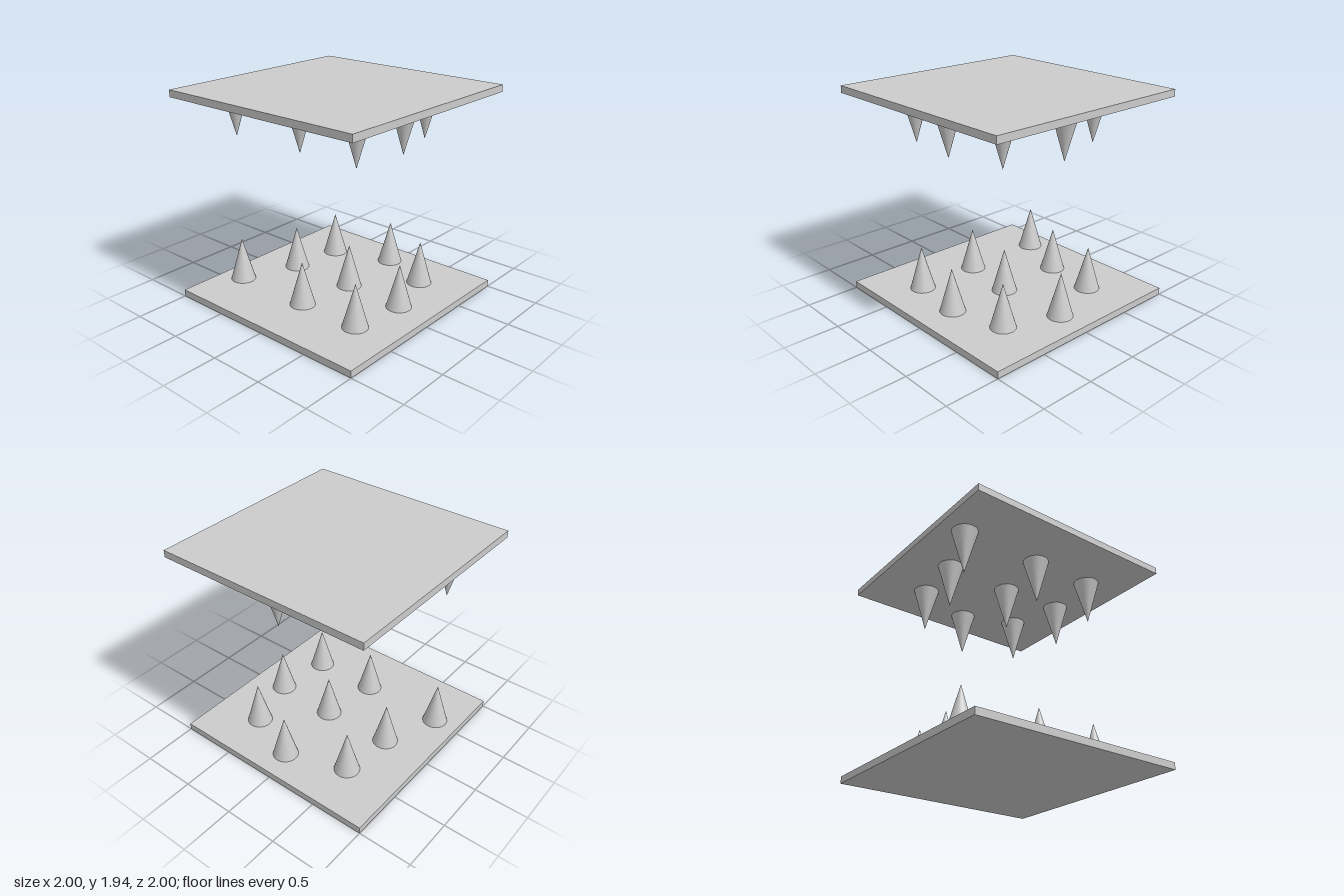
import * as THREE from 'three';

export function createModel() {
  const model = new THREE.Group();
  const material = new THREE.MeshStandardMaterial({ color: 0xcccccc });

  const slabHeight = 0.064;
  const totalHeight = 1.936;
  const spikeHeight = 0.406;

  const slabGeometry = new THREE.BoxGeometry(2, slabHeight, 2);
  const spikeGeometry = new THREE.ConeGeometry(0.115, spikeHeight, 32);

  // Spike positions as [x, z], shared by floor and ceiling
  const spots = [
    [-0.77, 0.48], [0, 0.48], [0.605, 0.48],
    [-0.565, -0.04], [0.08, -0.06], [0.67, -0.04],
    [-0.51, -0.54], [0.04, -0.73], [0.53, -0.54],
  ];

  function addPart(parent, name, geometry, x, y, z) {
    const mesh = new THREE.Mesh(geometry, material);
    mesh.name = name;
    mesh.position.set(x, y, z);
    parent.add(mesh);
  }

  // A slab with spikes pointing up
  function spikedSlab(name, spikeName) {
    const group = new THREE.Group();
    group.name = name;
    addPart(group, name + 'Slab', slabGeometry, 0, slabHeight / 2, 0);
    for (const [x, z] of spots) {
      addPart(group, spikeName, spikeGeometry, x, slabHeight + spikeHeight / 2, z);
    }
    return group;
  }

  const floor = spikedSlab('floor', 'floorSpike');

  // The ceiling is the floor turned upside down, with z kept in place
  const ceiling = spikedSlab('ceiling', 'ceilingSpike');
  ceiling.scale.y = -1;
  ceiling.position.y = totalHeight;

  model.add(floor, ceiling);
  return model;
}
